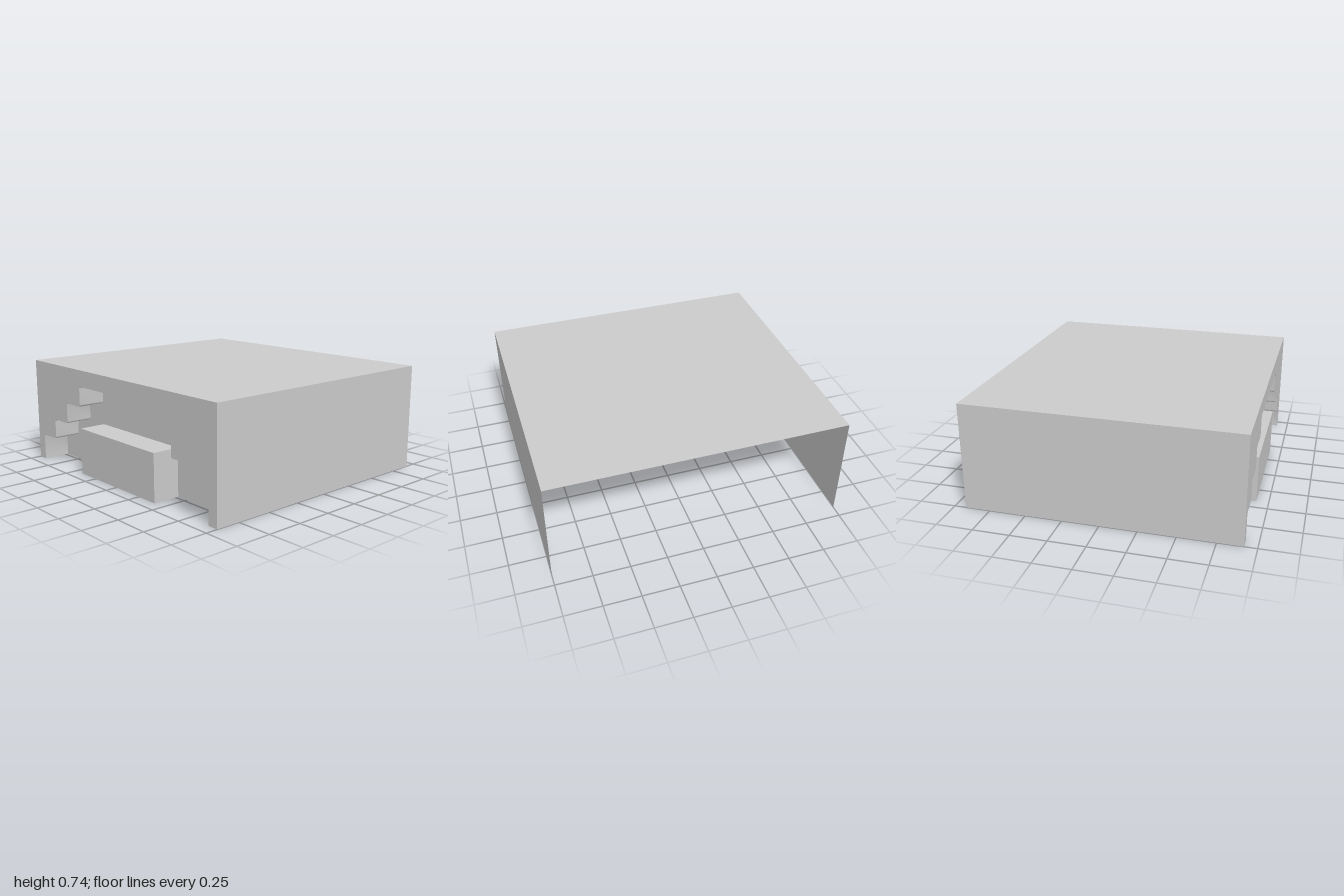
import * as THREE from 'three';
import { toCreasedNormals } from 'three/addons/utils/BufferGeometryUtils.js';

const W = 1, H = 0.735, D = 0.918;   // half width, height, half depth
const RECESS = 0.19;                 // depth of the stepped recess
const R = 0.015;                     // corner rounding of the steps
const BOX_X = 0.415, BOX_H = 0.325;  // hearth block
const STEPS = [[0.925, 0.187], [0.758, 0.33], [0.588, 0.477], [0.415, 0.62]];

const material = new THREE.MeshStandardMaterial({ color: 0xcccccc, side: THREE.DoubleSide });

// Stepped outline from the left foot over the top to the right foot, corners rounded
function steppedOutline() {
  const half = [];
  STEPS.forEach(([x, y], i) => {
    half.push([x, i ? STEPS[i - 1][1] : 0], [x, y]);
  });
  const corners = [...half, ...half.map(([x, y]) => [-x, y]).reverse()]
    .map(([x, y]) => new THREE.Vector2(x, y));
  const points = [corners[0]];
  for (let i = 1; i < corners.length - 1; i++) {
    const c = corners[i];
    const toward = (p) => c.clone().add(p.clone().sub(c).setLength(R));
    const bend = new THREE.QuadraticBezierCurve(toward(corners[i - 1]), c, toward(corners[i + 1]));
    points.push(...bend.getPoints(4));
  }
  points.push(corners[corners.length - 1]);
  return points;
}

// Strip that runs along a 2D outline from depth z0 to z1
function strip(points, z0, z1) {
  const pos = [];
  for (let i = 0; i < points.length - 1; i++) {
    const a = points[i], b = points[i + 1];
    pos.push(a.x, a.y, z0, b.x, b.y, z1, a.x, a.y, z1);
    pos.push(a.x, a.y, z0, b.x, b.y, z0, b.x, b.y, z1);
  }
  const geo = new THREE.BufferGeometry();
  geo.setAttribute('position', new THREE.Float32BufferAttribute(pos, 3));
  return toCreasedNormals(geo, Math.PI / 5);
}

const v = (x, y) => new THREE.Vector2(x, y);

export function createModel() {
  const group = new THREE.Group();
  const add = (name, geometry, z = 0) => {
    const mesh = new THREE.Mesh(geometry, material);
    mesh.name = name;
    mesh.position.z = z;
    group.add(mesh);
  };

  const outline = steppedOutline();
  const arch = [v(BOX_X, 0), v(BOX_X, BOX_H), v(-BOX_X, BOX_H), v(-BOX_X, 0)];

  // Outer shell: two sides and the top, open at the back and below
  add('sidesAndTop', strip([v(W, 0), v(W, H), v(-W, H), v(-W, 0)].reverse(), D, -D));

  // Front wall around the stepped opening
  add('frontWall', new THREE.ShapeGeometry(
    new THREE.Shape([v(W, 0), v(W, H), v(-W, H), v(-W, 0), ...outline.slice().reverse()])), D);

  // Recess lining and its back panel, cut out behind the hearth block
  add('recessLining', strip(outline, D, D - RECESS));
  add('recessPanel', new THREE.ShapeGeometry(
    new THREE.Shape([...outline, ...arch.slice().reverse()])), D - RECESS);

  // Hollow hearth block, flush with the front wall
  add('hearthSidesAndTop', strip(arch.slice().reverse(), D, D - RECESS));
  add('hearthFront', new THREE.ShapeGeometry(new THREE.Shape(arch)), D);

  return group;
}
